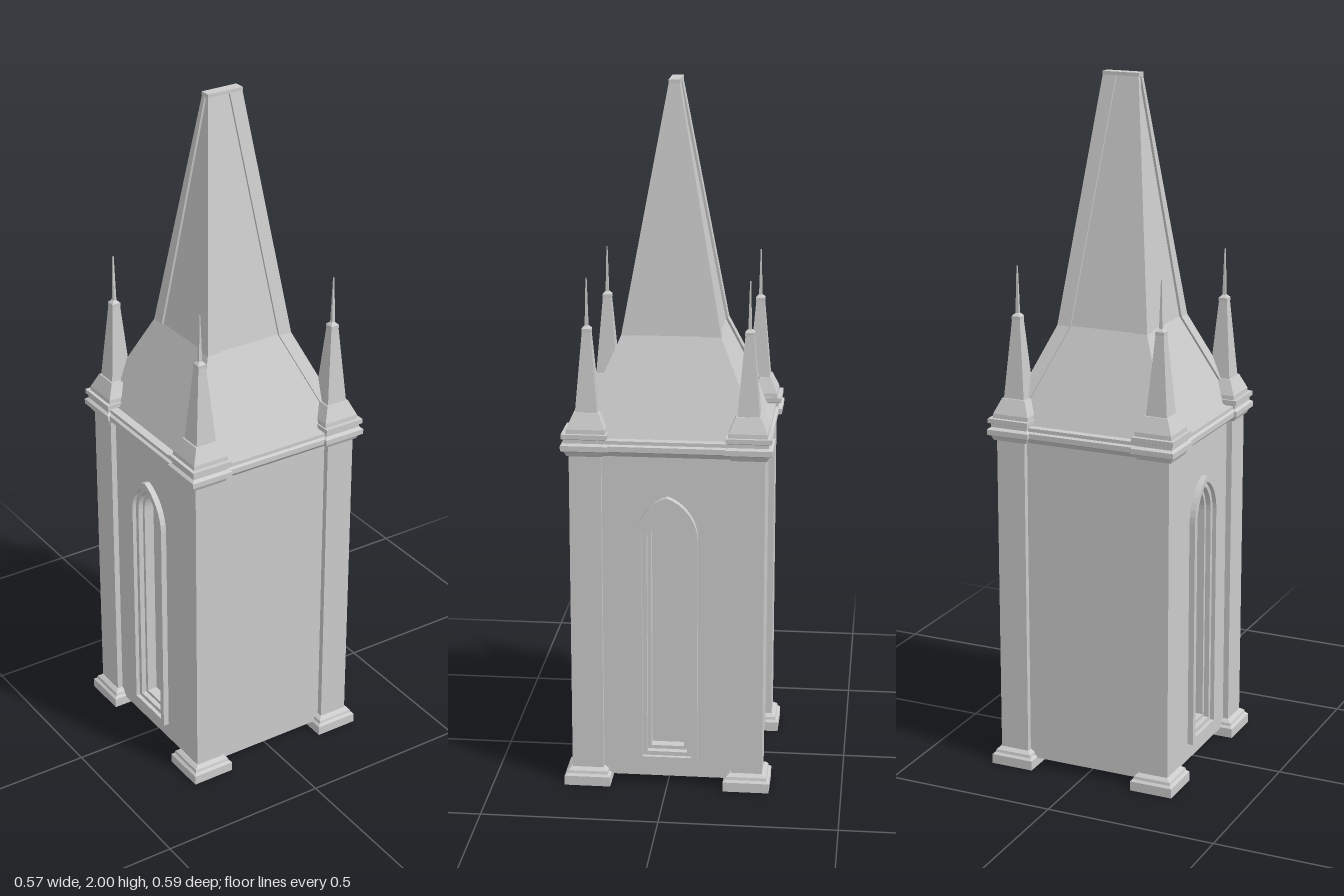
import * as THREE from 'three';

const material = new THREE.MeshStandardMaterial({ color: 0xcccccc, flatShading: true, side: THREE.DoubleSide });

function add(parent, name, geometry, x = 0, y = 0, z = 0) {
  const mesh = new THREE.Mesh(geometry, material);
  mesh.name = name;
  mesh.position.set(x, y, z);
  parent.add(mesh);
  return mesh;
}

// Joins horizontal rings of [x, y, z] points, counter-clockwise from above, with closed ends
function loft(rings) {
  const pos = [];
  const n = rings[0].length;
  const tri = (a, b, c) => pos.push(...a, ...b, ...c);
  for (let i = 0; i < rings.length - 1; i++) {
    for (let j = 0; j < n; j++) {
      const k = (j + 1) % n;
      const lo = rings[i], hi = rings[i + 1];
      tri(lo[j], lo[k], hi[k]);
      tri(lo[j], hi[k], hi[j]);
    }
  }
  const bottom = rings[0], top = rings[rings.length - 1];
  for (let j = 1; j < n - 1; j++) {
    tri(bottom[0], bottom[j + 1], bottom[j]);
    tri(top[0], top[j], top[j + 1]);
  }
  const g = new THREE.BufferGeometry();
  g.setAttribute('position', new THREE.Float32BufferAttribute(pos, 3));
  g.computeVertexNormals();
  return g;
}

// Stack of rectangles given as [y, half width, half depth]
const stack = (levels) => loft(levels.map(([y, a, b = a]) =>
  [[a, y, b], [a, y, -b], [-a, y, -b], [-a, y, b]]));

const box = (w, h, d) => new THREE.BoxGeometry(w, h, d);

// Pointed arch outline: half width, sill, springing line and apex
function arch(target, w, y0, spring, apex) {
  const h = apex - spring;
  target.moveTo(-w, y0);
  target.lineTo(w, y0);
  target.lineTo(w, spring);
  target.bezierCurveTo(w, spring + h * 0.45, w * 0.55, apex - h * 0.12, 0, apex);
  target.bezierCurveTo(-w * 0.55, apex - h * 0.12, -w, spring + h * 0.45, -w, spring);
  target.lineTo(-w, y0);
  return target;
}

const OUTLINES = [
  [0.087, 0.075, 0.75, 0.87],
  [0.07, 0.092, 0.75, 0.852],
  [0.057, 0.104, 0.75, 0.838],
  [0.047, 0.114, 0.75, 0.825],
];

function frame(i, from, to) {
  const shape = arch(new THREE.Shape(), ...OUTLINES[i]);
  shape.holes.push(arch(new THREE.Path(), ...OUTLINES[i + 1]));
  const g = new THREE.ExtrudeGeometry(shape, { depth: to - from, bevelEnabled: false, curveSegments: 8 });
  return g.translate(0, 0, from);
}

// Wall pierced by a pointed window with a stepped frame, facing local +z
function windowWall(depth) {
  const g = new THREE.Group();
  g.name = 'windowWall';
  const shape = new THREE.Shape([[-0.23, 0.025], [0.23, 0.025], [0.23, 0.99], [-0.23, 0.99]]
    .map(([x, y]) => new THREE.Vector2(x, y)));
  shape.holes.push(arch(new THREE.Path(), ...OUTLINES[1]));
  add(g, 'wallPanel', new THREE.ShapeGeometry(shape, 8));
  add(g, 'outerFrame', frame(0, -0.01, depth));
  add(g, 'middleFrame', frame(1, -0.03, depth - 0.012));
  add(g, 'innerFrame', frame(2, -0.045, -0.01));
  add(g, 'windowPane', new THREE.ShapeGeometry(arch(new THREE.Shape(), ...OUTLINES[3]), 8), 0, 0, -0.04);
  return g;
}

export function createModel() {
  const model = new THREE.Group();
  model.name = 'tower';

  // Walls
  for (const s of [1, -1]) {
    const side = windowWall(s > 0 ? 0.022 : 0.017);
    side.position.x = s * 0.247;
    side.rotation.y = s * Math.PI / 2;
    model.add(side);
    const plain = add(model, 'plainWall', new THREE.PlaneGeometry(0.45, 0.965), 0, 0.5075, s * 0.256);
    if (s < 0) plain.rotation.y = Math.PI;
  }

  // Cornice
  add(model, 'cornice', stack([
    [0.985, 0.258, 0.265], [0.998, 0.268, 0.275], [1.003, 0.278, 0.284],
    [1.018, 0.278, 0.284], [1.022, 0.27, 0.276], [1.032, 0.27, 0.276],
  ]));

  // Spire: a core slightly inset behind the hip ribs
  const inset = 0.007;
  const spire = [[1.03, 0.253, 0.26, 0.04], [1.3, 0.138, 0.14, 0.04], [1.992, 0.054, 0.015, 0.013]];
  add(model, 'spire', stack(spire.map(([y, a, b]) => [y, a - inset, b - inset])));
  add(model, 'spireCap', box(0.11, 0.01, 0.031), 0, 1.995, 0);

  for (const sx of [1, -1]) {
    for (const sz of [1, -1]) {
      // Hip rib of L-shaped section
      add(model, 'hipRib', loft(spire.map(([y, a, b, w]) => {
        const ring = [[a, b], [a, b - w], [a - inset, b - w], [a - inset, b - inset],
          [a - 0.04, b - inset], [a - 0.04, b]].map(([x, z]) => [sx * x, y, sz * z]);
        return sx * sz < 0 ? ring.reverse() : ring;
      })));

      // Corner pier with plinth, cap and pinnacle
      const pier = new THREE.Group();
      pier.name = 'cornerPier';
      pier.position.set(sx * 0.221, 0, sz * 0.228);
      add(pier, 'plinth', stack([
        [0, 0.064, 0.066], [0.028, 0.064, 0.066], [0.034, 0.057, 0.059],
        [0.042, 0.055, 0.057], [0.05, 0.045, 0.047],
      ]));
      add(pier, 'shaft', box(0.086, 0.95, 0.09), 0, 0.515, 0);
      add(pier, 'cap', stack([
        [0.985, 0.05], [0.998, 0.056], [1.003, 0.064, 0.066], [1.018, 0.064, 0.066],
        [1.024, 0.056], [1.034, 0.056], [1.037, 0.062, 0.064], [1.05, 0.062, 0.064],
      ]));
      add(pier, 'pinnacle', stack([
        [1.05, 0.055], [1.062, 0.054], [1.105, 0.035], [1.105, 0.031], [1.33, 0.012],
      ]), -sx * 0.003, 0, -sz * 0.003);
      add(pier, 'pinnacleCap', stack([
        [1.328, 0.013], [1.338, 0.013], [1.346, 0.005],
      ]), -sx * 0.003, 0, -sz * 0.003);
      add(pier, 'finial', stack([[1.34, 0.005], [1.48, 0.0015]]), -sx * 0.003, 0, -sz * 0.003);
      model.add(pier);
    }
  }
  return model;
}
